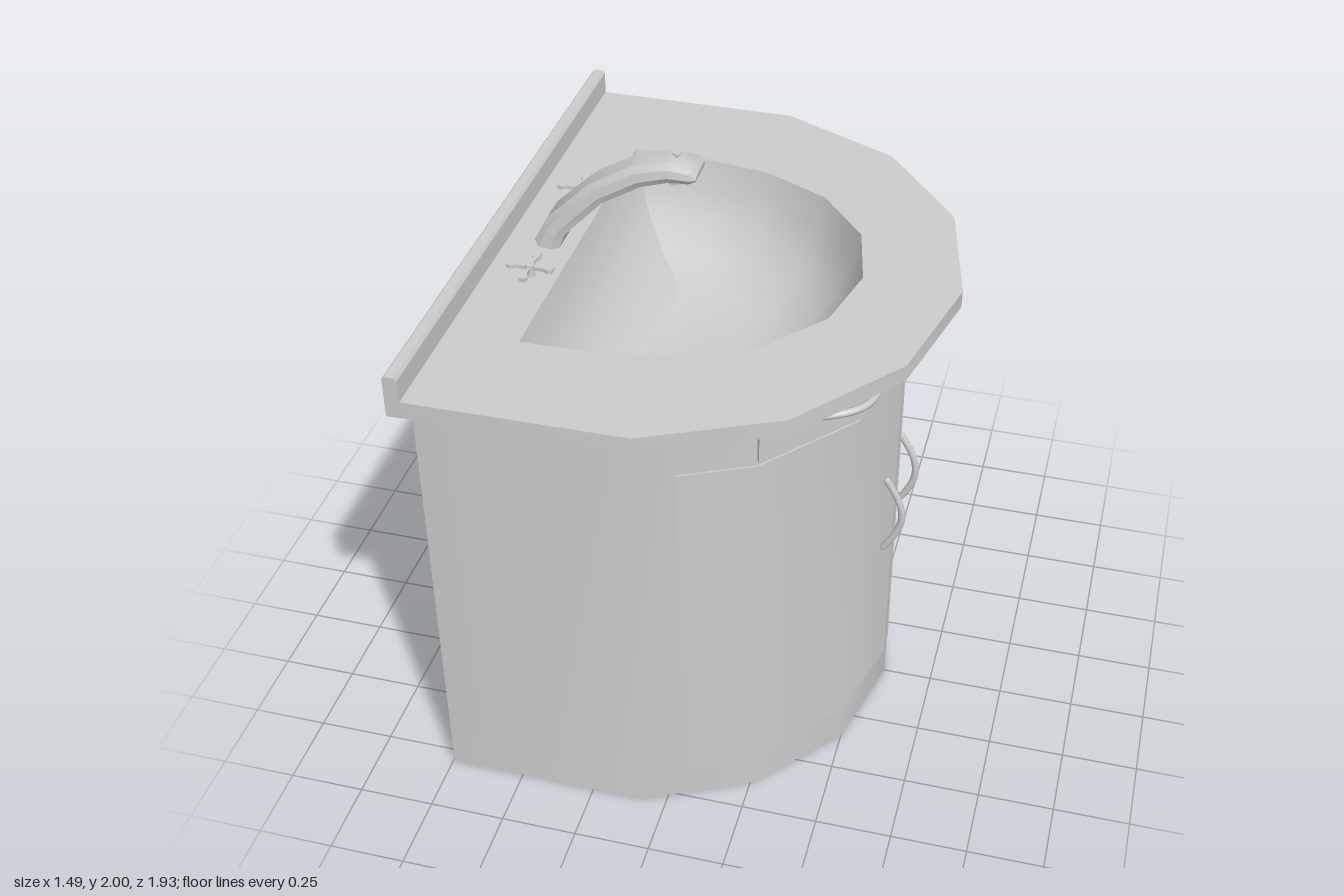
import * as THREE from 'three';
import { toCreasedNormals } from 'three/addons/utils/BufferGeometryUtils.js';

const material = new THREE.MeshStandardMaterial({ color: 0xcccccc });
const twoSided = new THREE.MeshStandardMaterial({ color: 0xcccccc, side: THREE.DoubleSide });
const CREASE = 0.62;

function add(parent, name, geometry, mat = material) {
  const mesh = new THREE.Mesh(geometry, mat);
  mesh.name = name;
  parent.add(mesh);
  return mesh;
}

// Mirrors a half outline (back corner to front tip, [x, z]) across z = 0
const mirrored = (half) => [...half, ...half.slice(0, -1).reverse().map(([x, z]) => [x, -z])];

// Skin through closed rings of equal length
function loft(rings) {
  const n = rings[0].length, pos = [];
  for (let i = 0; i < rings.length - 1; i++) {
    for (let j = 0; j < n; j++) {
      const k = (j + 1) % n;
      const [a, b, c, d] = [rings[i][j], rings[i][k], rings[i + 1][k], rings[i + 1][j]];
      if (!a.equals(b)) pos.push(...a.toArray(), ...b.toArray(), ...c.toArray());
      if (!c.equals(d)) pos.push(...a.toArray(), ...c.toArray(), ...d.toArray());
    }
  }
  const g = new THREE.BufferGeometry();
  g.setAttribute('position', new THREE.Float32BufferAttribute(pos, 3));
  return toCreasedNormals(g, CREASE);
}

// Ring of an outline scaled about (cx, 0) at height y
const ring = (outline, scale, y, cx) =>
  outline.map(([x, z]) => new THREE.Vector3(cx + (x - cx) * scale, y, z * scale));

// Vertical prism from an [x, z] outline with an optional hole
function prism(outline, y0, y1, hole) {
  const toV = ([x, z]) => new THREE.Vector2(x, -z);
  const shape = new THREE.Shape(outline.map(toV));
  if (hole) shape.holes.push(new THREE.Path(hole.map(toV)));
  const g = new THREE.ExtrudeGeometry(shape, { depth: y1 - y0, bevelEnabled: false });
  g.rotateX(-Math.PI / 2).translate(0, y0, 0);
  return toCreasedNormals(g, CREASE);
}

// Thin front panel that follows the curved cabinet wall
function panel(points, side, out, y0, y1) {
  const shift = (d) => points.map(([x, z]) => {
    const l = Math.hypot(x + 0.1, z);
    return [x + (x + 0.1) / l * d, (z + z / l * d) * side];
  });
  return prism([...shift(out), ...shift(-0.02).reverse()], y0, y1);
}

// Bow handle between two points, bulging along a direction
function bowHandle(a, b, out, depth) {
  const pts = [];
  for (let i = 0; i <= 6; i++) {
    const t = i / 6;
    pts.push(a.clone().lerp(b, t).addScaledVector(out, depth * Math.sin(Math.PI * t)));
  }
  const group = new THREE.Group();
  add(group, 'handleBar', new THREE.TubeGeometry(new THREE.CatmullRomCurve3(pts), 16, 0.012, 8));
  for (const p of [a, b]) {
    add(group, 'handleEnd', new THREE.SphereGeometry(0.012, 8, 6)).position.copy(p);
  }
  return group;
}

function createFaucet() {
  const faucet = new THREE.Group();
  faucet.name = 'faucet';
  // Spout stations: x, y, slope in degrees, half thickness, half width
  const stations = [
    [-0.57, 1.64, 75, 0.045, 0.09], [-0.535, 1.715, 55, 0.04, 0.083],
    [-0.405, 1.845, 40, 0.036, 0.072], [-0.27, 1.925, 25, 0.035, 0.07],
    [-0.17, 1.953, 5, 0.031, 0.07], [-0.1, 1.95, -10, 0.026, 0.067],
    [-0.082, 1.945, -10, 0.013, 0.055],
  ];
  const half = [[1, 0.6], [0.5, 0.92], [-0.3, 1], [-0.9, 0.85]];
  const profile = [...half, ...[...half].reverse().map(([n, w]) => [n, -w])];
  const section = ([x, y, deg, t, w], s = 1) => {
    const a = THREE.MathUtils.degToRad(deg);
    return profile.map(([n, z]) =>
      new THREE.Vector3(x - Math.sin(a) * n * t * s, y + Math.cos(a) * n * t * s, z * w * s));
  };
  const rings = stations.map((s) => section(s));
  add(faucet, 'spout', loft([section(stations[0], 0), ...rings, section(stations.at(-1), 0)]));
  add(faucet, 'outlet', new THREE.CylinderGeometry(0.03, 0.03, 0.04, 12)).position.set(-0.155, 1.92, 0);
  add(faucet, 'plungerRod', new THREE.CylinderGeometry(0.004, 0.004, 0.025, 6)).position.set(-0.155, 1.984, 0);
  add(faucet, 'plungerKnob', new THREE.CylinderGeometry(0.014, 0.014, 0.006, 10)).position.set(-0.155, 1.997, 0);
  return faucet;
}

// Cross-shaped tap with four flared arms
function createTap() {
  const tap = new THREE.Group();
  tap.name = 'tap';
  add(tap, 'tapStem', new THREE.CylinderGeometry(0.012, 0.016, 0.05, 10)).position.y = 0.02;
  add(tap, 'tapCap', new THREE.CylinderGeometry(0.014, 0.014, 0.016, 10)).position.y = 0.037;
  for (let i = 0; i < 4; i++) {
    const arm = add(tap, 'tapArm', prism(
      [[0, 0.005], [0.045, 0.006], [0.06, 0.014], [0.075, 0.011],
        [0.075, -0.011], [0.06, -0.014], [0.045, -0.006], [0, -0.005]], 0.028, 0.041));
    arm.rotation.y = i * Math.PI / 2;
  }
  return tap;
}

export function createModel() {
  const model = new THREE.Group();
  model.name = 'vanityUnit';

  const wall = mirrored([[-0.745, 0.8], [-0.08, 0.8], [0.26, 0.635], [0.5, 0.35], [0.585, 0]]);
  const top = mirrored([[-0.745, 0.963], [-0.02, 0.957], [0.38, 0.765], [0.65, 0.425], [0.745, 0]]);
  const rim = mirrored([[-0.475, 0.595], [-0.25, 0.59], [0, 0.55], [0.22, 0.44], [0.38, 0.245], [0.435, 0]]);

  // Cabinet body, open at the top beneath the counter
  add(model, 'cabinet', loft([ring(wall, 0, 0, 0), ring(wall, 1, 0, 0), ring(wall, 1, 1.6, 0)]), twoSided);

  // Countertop, backsplash and bowl
  add(model, 'countertop', prism(top, 1.59, 1.645, rim));
  const splash = [[-0.745, 1.59], [-0.7, 1.59], [-0.7, 1.718], [-0.707, 1.728], [-0.738, 1.728], [-0.745, 1.72]];
  const splashGeometry = new THREE.ExtrudeGeometry(
    new THREE.Shape(splash.map(([x, y]) => new THREE.Vector2(x, y))), { depth: 1.93, bevelEnabled: false });
  add(model, 'backsplash', splashGeometry.translate(0, 0, -0.965));
  const bowl = [[1, 1.645], [0.95, 1.55], [0.85, 1.455], [0.7, 1.375], [0.48, 1.305], [0.25, 1.28], [0, 1.275]];
  add(model, 'basin', loft(bowl.map(([s, y]) => ring(rim, s, y, -0.02))), twoSided);

  model.add(createFaucet());

  // Doors, drawers, handles and taps on both sides
  for (const side of [1, -1]) {
    const v = (x, y, z) => new THREE.Vector3(x, y, z * side);
    const bend = [[0.577, 0.034], [0.5, 0.35], [0.26, 0.635]];
    add(model, 'door', panel([...bend, [0.04, 0.742]], side, 0.006, 0.13, 1.36));
    add(model, 'drawer', panel(bend, side, 0.018, 1.38, 1.55));

    const doorHandle = bowHandle(v(0.57, 0.685, 0.125), v(0.57, 0.965, 0.125), v(1, 0, 0), 0.055);
    doorHandle.name = 'doorHandle';
    const drawerHandle = bowHandle(v(0.55, 1.465, 0.235), v(0.4, 1.465, 0.5), v(0.86, 0, 0.51), 0.07);
    drawerHandle.name = 'drawerHandle';
    const tap = createTap();
    tap.position.set(-0.56, 1.64, 0.247 * side);
    model.add(doorHandle, drawerHandle, tap);
  }
  return model;
}
